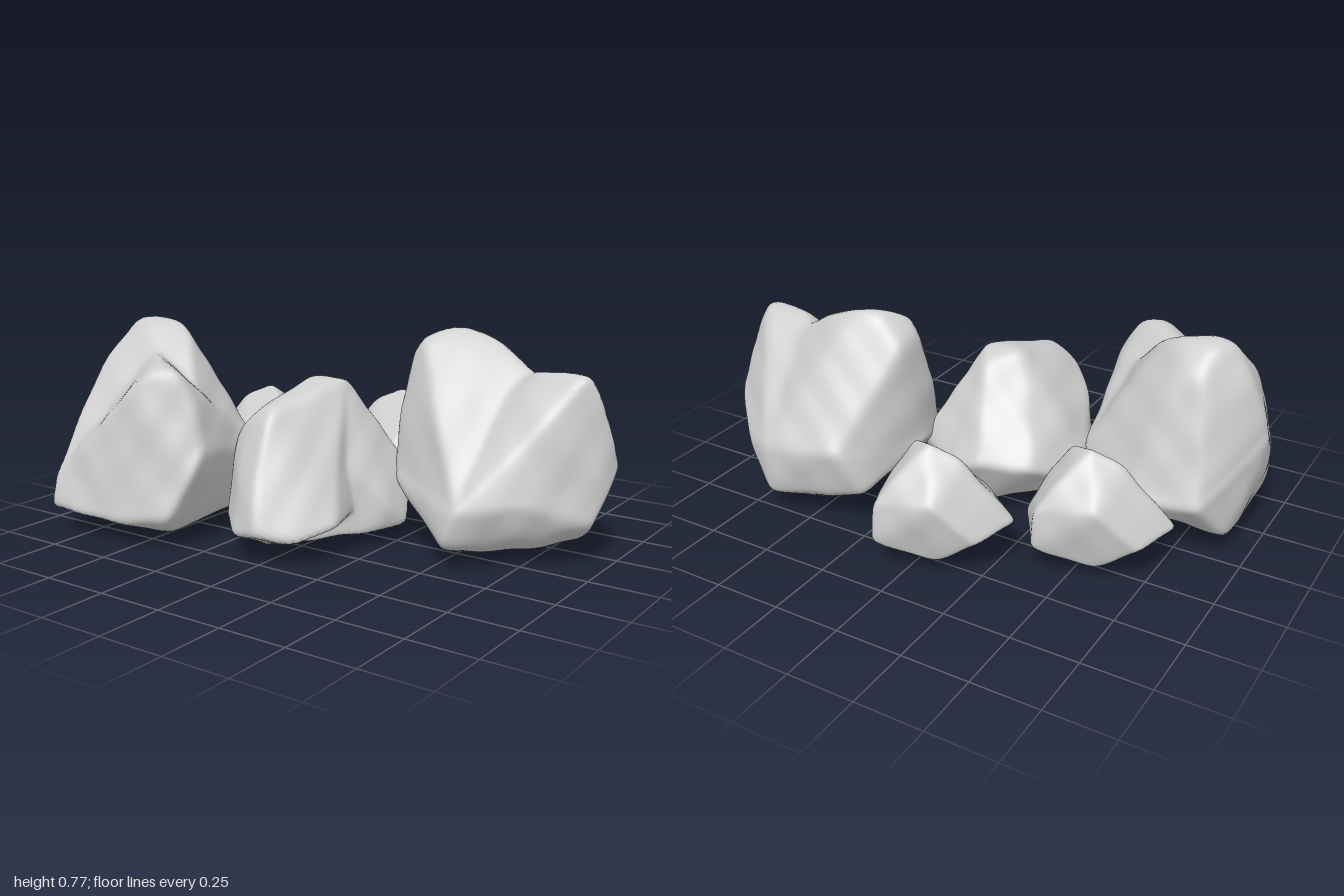
import * as THREE from 'three';
import { mergeVertices } from 'three/addons/utils/BufferGeometryUtils.js';
import { ConvexGeometry } from 'three/addons/geometries/ConvexGeometry.js';

const stone = new THREE.MeshStandardMaterial({ color: 0xcecece });
stone.name = 'grey stone';

// Face planes of the hull around some points, as vectors n / d seen from the centre
function hullPlanes(points, centre) {
  const pos = new ConvexGeometry(points.map(p => new THREE.Vector3(...p).sub(centre))).attributes.position;
  const planes = [];
  for (let i = 0; i < pos.count; i += 3) {
    const [a, b, c] = [0, 1, 2].map(k => new THREE.Vector3().fromBufferAttribute(pos, i + k));
    const n = b.clone().sub(a).cross(c.clone().sub(a)).normalize();
    planes.push(n.divideScalar(Math.max(n.dot(a), 0.02)));
  }
  return planes;
}

// Distance to a hull along a direction, with rounded edges; the factor offsets the rounding
function reach(planes, dir) {
  const p = 42;
  let sum = 0;
  for (const n of planes) sum += Math.max(n.dot(dir), 0) ** p;
  return 1.028 * sum ** (-1 / p);
}

// Gentle weathering of the surface
function weather(v, seed) {
  return 0.004 * Math.sin(v.x * 13 + v.y * 9 + seed) * Math.sin(v.z * 14 - v.y * 7 + seed * 2)
    + 0.003 * Math.sin(v.x * 29 - v.z * 17 + seed) * Math.sin(v.y * 27 + v.z * 11);
}

// A rock is the soft union of one base with each of its peaks
function rock(name, centreAt, base, peaks, seed) {
  const centre = new THREE.Vector3(...centreAt);
  const hulls = peaks.map(peak => hullPlanes([...base, ...peak], centre));
  const ball = new THREE.IcosahedronGeometry(1, 30);
  ball.deleteAttribute('normal');
  ball.deleteAttribute('uv');
  const geo = mergeVertices(ball, 1e-5);
  const pos = geo.attributes.position;
  const v = new THREE.Vector3();
  for (let i = 0; i < pos.count; i++) {
    v.fromBufferAttribute(pos, i).normalize();
    let sum = 0;
    for (const h of hulls) sum += reach(h, v) ** 40;
    v.multiplyScalar((sum / hulls.length) ** (1 / 40));
    v.multiplyScalar(1 + weather(v, seed) / v.length());
    pos.setXYZ(i, v.x, v.y, v.z);
  }
  geo.computeVertexNormals();
  const mesh = new THREE.Mesh(geo, stone);
  mesh.name = name;
  mesh.position.copy(centre);
  return mesh;
}

export function createModel() {
  const group = new THREE.Group();
  group.name = 'rocks';

  // Tall rock with a main peak and a lower front shoulder
  group.add(rock('twoPeakRock', [-0.65, 0.3, 0.25], [
    [-1, 0.43, 0.2], [-0.94, 0.14, 0.45], [-0.88, 0.1, 0.64], [-0.88, 0.22, 0.61], [-0.58, 0.1, 0.65],
    [-0.9, 0.03, 0.35], [-0.6, 0.005, 0.3], [-0.4, 0.05, 0.5], [-0.34, 0.13, 0.58], [-0.265, 0.36, 0.48],
    [-0.36, 0.3, 0.06], [-0.4, 0.08, 0.08], [-0.62, 0.22, -0.12], [-0.86, 0.25, -0.1], [-0.92, 0.08, 0.05],
  ], [
    [[-0.86, 0.77, 0.17], [-0.68, 0.775, 0.13], [-0.78, 0.77, 0.2], [-0.6, 0.73, 0.16], [-0.9, 0.6, 0.34],
      [-0.8, 0.68, 0.02], [-0.7, 0.66, 0.01], [-0.93, 0.66, 0.15], [-0.8, 0.76, 0.09]],
    [[-0.37, 0.64, 0.48], [-0.44, 0.655, 0.5], [-0.56, 0.655, 0.35], [-0.66, 0.67, 0.28], [-0.47, 0.63, 0.55],
      [-0.32, 0.55, 0.46], [-0.5, 0.45, 0.59]],
  ], 1));

  // Wide rock with a ridge between two peaks
  group.add(rock('ridgeRock', [0.58, 0.3, -0.18], [
    [0.18, 0.28, -0.18], [0.22, 0.25, -0.02], [0.28, 0.15, -0.45], [0.35, 0.32, -0.52], [0.64, 0.3, -0.55],
    [0.64, 0.1, -0.54], [0.85, 0.28, -0.42], [0.995, 0.36, -0.25], [0.96, 0.16, -0.1], [0.88, 0.08, -0.2],
    [0.8, 0.25, 0.08], [0.6, 0.22, 0.21], [0.56, 0.1, 0.2], [0.46, 0.02, 0.02], [0.5, 0.03, -0.35],
    [0.72, 0.06, 0], [0.3, 0.15, -0.05], [0.68, 0.66, -0.2],
  ], [
    [[0.21, 0.68, -0.26], [0.21, 0.68, -0.15], [0.26, 0.75, -0.14], [0.32, 0.78, -0.2], [0.36, 0.785, -0.25],
      [0.48, 0.77, -0.25], [0.45, 0.73, -0.31], [0.2, 0.5, -0.09], [0.56, 0.73, -0.25], [0.63, 0.69, -0.22]],
    [[0.92, 0.675, -0.13], [0.74, 0.67, -0.14], [0.9, 0.66, -0.19], [0.98, 0.53, -0.18]],
  ], 4));

  // Middle rock with a broad front face and a crease down its left side
  group.add(rock('middleRock', [-0.04, 0.28, 0.13], [
    [-0.37, 0.15, 0.04], [-0.3, 0.1, 0.25], [-0.27, 0.36, 0.06], [-0.22, 0.12, 0.4], [-0.25, 0.25, -0.15],
    [-0.06, 0.25, -0.22], [0.08, 0.2, -0.2], [-0.05, 0.05, -0.1], [-0.05, 0.04, 0.4], [-0.09, 0.595, 0.08],
    [0.07, 0.595, 0.07], [0.02, 0.56, -0.02], [-0.16, 0.46, 0.38], [-0.05, 0.53, 0.36], [-0.27, 0.36, 0.27],
  ], [
    [[0.295, 0.08, 0], [0.24, 0.26, -0.1], [0.28, 0.16, 0.08], [0.2, 0.06, 0.16], [0.13, 0.47, 0.08]],
    [[-0.03, 0.52, 0.38], [-0.02, 0.3, 0.5], [-0.1, 0.1, 0.53], [0.03, 0.12, 0.55], [0.15, 0.1, 0.46],
      [0.22, 0.14, 0.34], [0.12, 0.45, 0.18]],
  ], 7));

  // Two small matching rocks at the back
  const small = [
    [-0.315, 0.2, -0.4], [-0.25, 0.16, -0.55], [-0.12, 0.3, -0.62], [0.09, 0.27, -0.65], [0.09, 0.13, -0.66],
    [0.215, 0.14, -0.46], [0.15, 0.12, -0.26], [0.05, 0.22, -0.2], [-0.11, 0.2, -0.24], [-0.1, 0.06, -0.57],
    [0.02, 0.035, -0.36], [-0.2, 0.09, -0.35], [-0.04, 0.465, -0.49], [-0.13, 0.42, -0.46], [0.06, 0.42, -0.43],
    [0.15, 0.29, -0.4], [-0.22, 0.32, -0.46], [0.02, 0.39, -0.57], [0.08, 0.05, -0.5], [0.14, 0.26, -0.54],
  ];
  [['smallBackRock', 0, 0], ['smallSideRock', -0.49, 0.24]].forEach(([name, dx, dz]) => {
    const pts = small.map(([x, y, z]) => [x + dx, y, z + dz]);
    group.add(rock(name, [-0.04 + dx, 0.24, -0.44 + dz], pts, [[]], 2));
  });

  return group;
}
